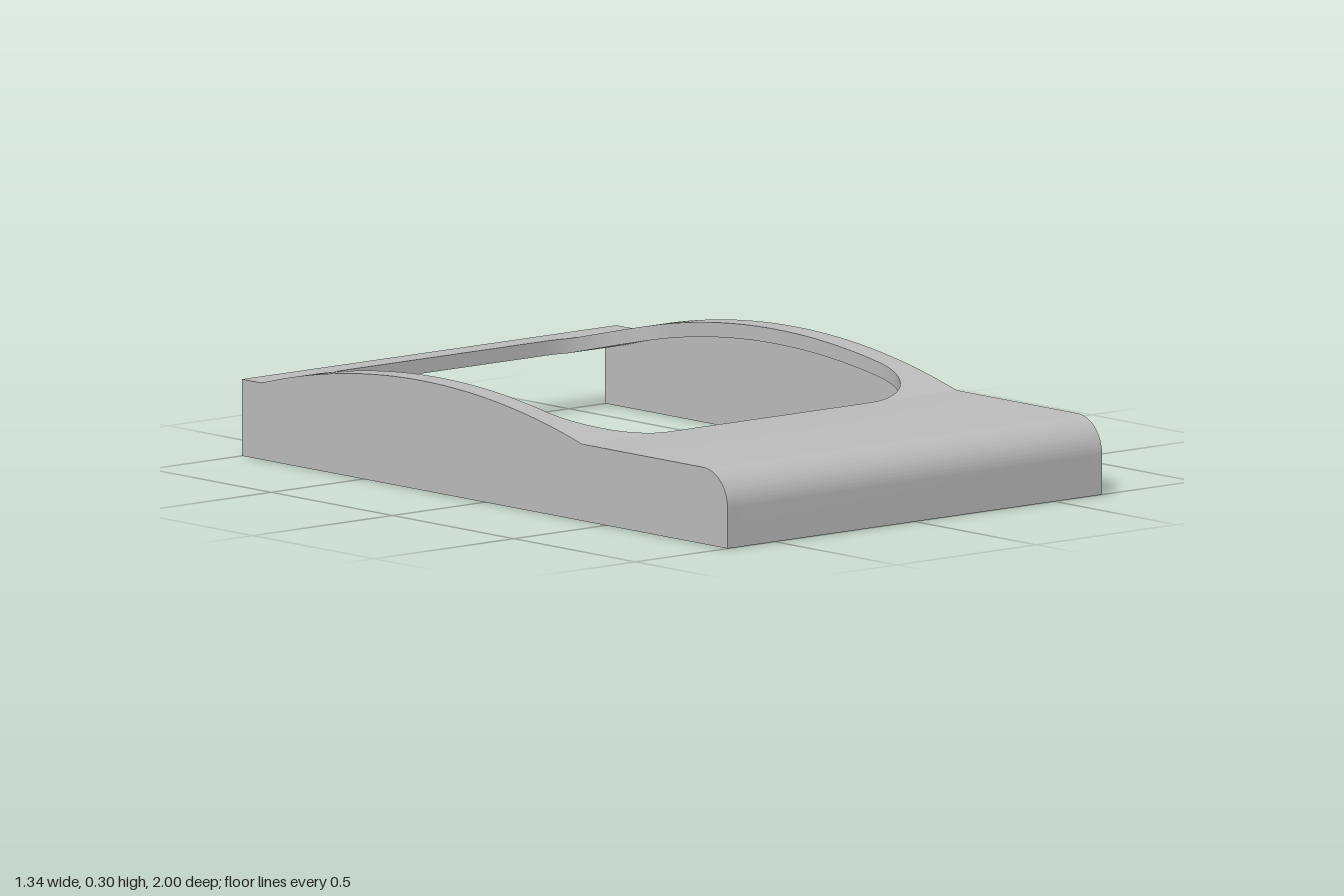
import * as THREE from 'three';
import { toCreasedNormals } from 'three/addons/utils/BufferGeometryUtils.js';

const HALF_W = 0.67, WALL = 0.04, DECK = 0.21, FILLET = 0.1;
const ARCH = { front: 0.4, back: -0.92, rise: 0.09 };
const HOLE = { front: 0.4, back: -0.93, half: 0.6, r: 0.24 };
const CREASE = 0.2;

// Height of the top surface: flat deck with a shallow circular arch
function topAt(z) {
  if (z >= ARCH.front || z <= ARCH.back) return DECK;
  const half = (ARCH.front - ARCH.back) / 2, mid = (ARCH.front + ARCH.back) / 2;
  const R = (half * half + ARCH.rise ** 2) / (2 * ARCH.rise);
  return DECK + ARCH.rise - R + Math.sqrt(R * R - (z - mid) ** 2);
}

// Half width of the rounded opening
function holeAt(z) {
  const d = Math.max(z - (HOLE.front - HOLE.r), HOLE.back + HOLE.r - z, 0);
  return HOLE.half - HOLE.r + Math.sqrt(Math.max(0, HOLE.r ** 2 - d * d));
}

// Stations along z, denser round the corners of the opening
function stations() {
  const zs = [ARCH.back];
  for (let i = 0; i <= 20; i++) {
    const s = HOLE.r * Math.sin((i / 20) * Math.PI / 2);
    zs.push(HOLE.front - HOLE.r + s, HOLE.back + HOLE.r - s);
  }
  for (let i = 1; i < 24; i++) {
    zs.push(THREE.MathUtils.lerp(HOLE.back + HOLE.r, HOLE.front - HOLE.r, i / 24));
  }
  return zs.sort((a, b) => a - b);
}

// Extrude a (z, y) profile across x, centred on cx
function across(shape, width, cx) {
  const g = new THREE.ExtrudeGeometry(shape, { depth: width, bevelEnabled: false, curveSegments: 14 });
  g.rotateY(-Math.PI / 2).translate(cx + width / 2, 0, 0);
  return toCreasedNormals(g, CREASE);
}

// Rounded front nose shared by the walls and the deck
function nose(shape) {
  shape.lineTo(1, DECK - FILLET);
  shape.absarc(1 - FILLET, DECK - FILLET, FILLET, 0, Math.PI / 2, false);
}

function sideWallShape(zs) {
  const s = new THREE.Shape();
  s.moveTo(-1, 0);
  s.lineTo(1, 0);
  nose(s);
  [...zs].reverse().forEach(z => s.lineTo(z, topAt(z)));
  s.lineTo(-1, DECK);
  s.closePath();
  return s;
}

function frontDeckShape() {
  const s = new THREE.Shape();
  s.moveTo(1 - WALL, 0);
  s.lineTo(1, 0);
  nose(s);
  s.lineTo(HOLE.front, DECK);
  s.lineTo(HOLE.front, DECK - WALL);
  s.lineTo(1 - WALL, DECK - WALL);
  s.closePath();
  return s;
}

// Arched strip between the opening and one side wall
function railGeometry(zs, side) {
  const pos = [], outer = HALF_W - WALL;
  const quad = (a, b, c, d) => {
    const q = side > 0 ? [a, b, c, a, c, d] : [a, c, b, a, d, c];
    q.forEach(p => pos.push(p[0] * side, p[1], p[2]));
  };
  for (let i = 0; i < zs.length - 1; i++) {
    const [a, b] = [zs[i], zs[i + 1]].map(z => {
      const h = holeAt(z), y = topAt(z);
      return { it: [h, y, z], ot: [outer, y, z], ib: [h, y - WALL, z], ob: [outer, y - WALL, z] };
    });
    quad(a.it, b.it, b.ot, a.ot);
    quad(a.ob, b.ob, b.ib, a.ib);
    quad(a.it, a.ib, b.ib, b.it);
  }
  const g = new THREE.BufferGeometry();
  g.setAttribute('position', new THREE.Float32BufferAttribute(pos, 3));
  return toCreasedNormals(g, CREASE);
}

export function createModel() {
  const grey = new THREE.MeshStandardMaterial({ color: 0xbcbcbc });
  grey.name = 'grey';
  const model = new THREE.Group();
  model.name = 'archedCover';
  const add = (name, geometry) => {
    const mesh = new THREE.Mesh(geometry, grey);
    mesh.name = name;
    model.add(mesh);
    return mesh;
  };
  const zs = stations();
  const inner = 2 * (HALF_W - WALL);

  // Side walls and the arched rails beside the opening
  for (const [label, side] of [['left', 1], ['right', -1]]) {
    add(label + 'Wall', across(sideWallShape(zs), WALL, side * (HALF_W - WALL / 2)));
    add(label + 'Rail', railGeometry(zs, side));
  }

  // Front deck with its rounded front wall
  add('frontDeck', across(frontDeckShape(), inner, 0));

  // Thin bridge over the open back
  const depth = HOLE.back + 1;
  add('backBridge', new THREE.BoxGeometry(inner, WALL, depth))
    .position.set(0, DECK - WALL / 2, -1 + depth / 2);

  return model;
}
